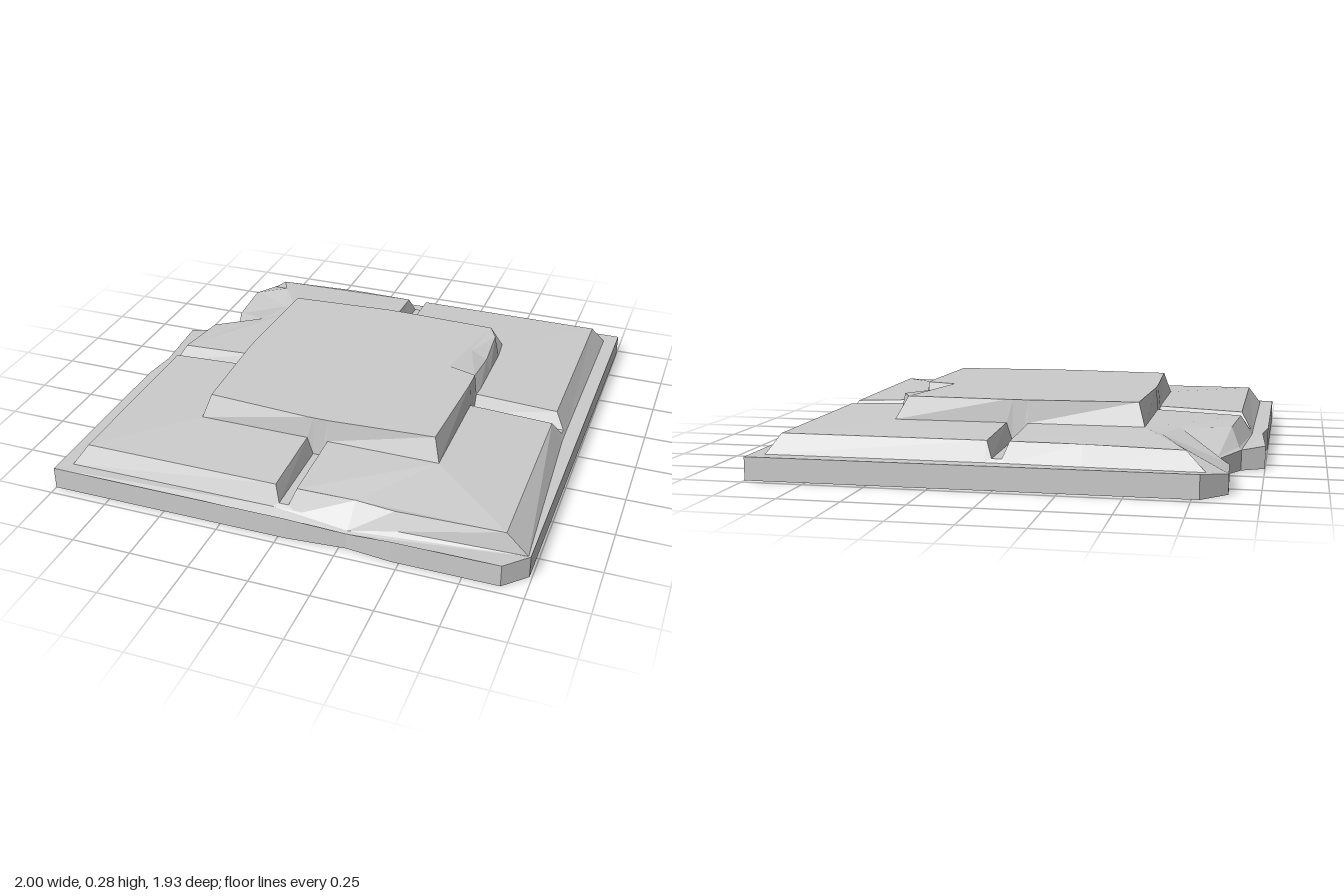
import * as THREE from 'three';

const material = new THREE.MeshStandardMaterial({ color: 0xcccccc, flatShading: true, side: THREE.DoubleSide });

// Heights of the ledge, slab edge, plinth foot, groove floor and plinth top
const LEDGE = 0.095, SLAB = 0.175, FOOT = 0.19, GROOVE = 0.115, TOP = 0.285;
const HALF = 0.525; // half width of the plinth

// Plan point [x, z, own height] to a 3D point at the usual height
const at = (height) => ([x, z, y = height]) => [x, y, z];
const same = (p, q) => p.every((v, i) => v === q[i]);

function surface(name, triangles) {
  const solid = triangles.filter(([a, b, c]) => !same(a, b) && !same(b, c) && !same(c, a));
  const geometry = new THREE.BufferGeometry();
  geometry.setAttribute('position', new THREE.Float32BufferAttribute(solid.flat(2), 3));
  geometry.computeVertexNormals();
  const mesh = new THREE.Mesh(geometry, material);
  mesh.name = name;
  return mesh;
}

// Band of faces between two paths with equally many points
function strip(name, a, b, closed = false) {
  const triangles = [];
  for (let i = 0; i < (closed ? a.length : a.length - 1); i++) {
    const j = (i + 1) % a.length;
    triangles.push([a[i], b[i], a[j]], [a[j], b[i], b[j]]);
  }
  return surface(name, triangles);
}

// Upward-facing fill of a loop, with optional holes
function cap(name, loop, holes = []) {
  const loops = [loop, ...holes].map((l) => l.filter((p, i) => !same(p, l[(i + 1) % l.length])));
  const flat = loops.map((l) => l.map(([x, , z]) => new THREE.Vector2(x, -z)));
  const points = loops.flat();
  const triangles = THREE.ShapeUtils.triangulateShape(flat[0], flat.slice(1)).map((f) => {
    const [a, b, c] = f.map((i) => points[i]);
    const up = (b[2] - a[2]) * (c[0] - a[0]) - (b[0] - a[0]) * (c[2] - a[2]);
    return up >= 0 ? [a, b, c] : [a, c, b];
  });
  return surface(name, triangles);
}

// Top edge of the base, clockwise from above, broken at the back right
const outline = [
  [0.99, 0.87], [0.9, 0.96], [0.47, 0.96], [0.28, 0.94, 0.07], [0.03, 0.96], [-1, 0.96], [-1, 0.12],
  [-0.98, -0.03], [-1, -0.33], [-0.905, -0.385, 0.085], [-0.83, -0.52, 0.075], [-0.87, -0.62, 0.07],
  [-0.88, -0.85, 0.08], [-0.78, -0.96], [1, -0.97],
].map(at(LEDGE));

// Worn outer corners, as pairs of bevel foot and slab edge
const chippedFront = [
  [[0.08, 0.9], [0.06, 0.86]],
  [[0.28, 0.925, 0.075], [0.28, 0.83, 0.155]],
  [[0.47, 0.89], [0.45, 0.86, 0.165]],
  [[0.98, 0.87], [0.89, 0.86]],
];
const brokenBack = [
  [[-0.33, -0.91], [-0.33, -0.865]],
  [[-0.8, -0.92], [-0.72, -0.86, 0.165]],
  [[-0.87, -0.85, 0.085], [-0.68, -0.78, 0.17]],
  [[-0.86, -0.62, 0.075], [-0.6, -0.58]],
  [[-0.82, -0.52, 0.08], [-0.66, -0.42]],
  [[-0.895, -0.37], [-0.86, -0.3, 0.165]],
];
const plainCorner = (sx, sz) => [[[sx * 0.94, sz * 0.905], [sx * 0.885, sz * 0.86]]];

// Plinth corner with a chip: foot, rim and, where broken, the lip above
const chippedPlinth = [
  [[0.52, -0.53], [0.47, -0.5]],
  [[0.53, -0.42], [0.51, -0.42]],
  [[0.53, -0.27], [0.51, -0.27, 0.245], [0.44, -0.27, 0.28]],
  [[0.53, -0.1], [0.5, -0.1, 0.25], [0.385, -0.09]],
];
const plainPlinth = (sx, sz) => [[[sx * HALF, sz * HALF], [sx * 0.495, sz * 0.485]]];

// One corner slab: bevel foot and top edge running clockwise from groove to groove
function makeSlab(name, sx, sz, corner = plainCorner(sx, sz), plinth = plainPlinth(sx, sz)) {
  const mirror = ([x, y, z]) => [sx * x, y, sz * z];
  const foot = [
    ...[[0.02, GROOVE, HALF], [0.02, 0.11, 0.89], [0.045, LEDGE, 0.9]].map(mirror),
    ...corner.map((p) => at(LEDGE)(p[0])),
    ...[[0.935, LEDGE, 0.05], [0.925, 0.11, 0.015], [HALF, GROOVE, 0.015]].map(mirror),
  ];
  const front = [0.045, SLAB, 0.86], side = [0.885, SLAB, 0.05];
  const top = [
    ...[[0.045, FOOT, HALF], front, front].map(mirror),
    ...corner.map((p) => at(SLAB)(p[1])),
    ...[side, side, [HALF, FOOT, 0.05]].map(mirror),
  ];
  const inner = plinth.map(([base, ...upper]) => [at(FOOT)(base), ...upper.map(at(TOP))]);
  if (sx * sz > 0) [foot, top, inner].forEach((path) => path.reverse());
  return { name, foot, top, inner };
}

export function createModel() {
  const model = new THREE.Group();
  model.name = 'steppedStoneSlab';

  const slabs = [
    makeSlab('frontRightSlab', -1, 1),
    makeSlab('backRightSlab', -1, -1, brokenBack),
    makeSlab('backLeftSlab', 1, -1, plainCorner(1, -1), chippedPlinth),
    makeSlab('frontLeftSlab', 1, 1, chippedFront),
  ];

  // Base wall and the ledge around the slabs
  model.add(strip('baseWall', outline.map(([x, , z]) => [x, 0, z]), outline, true));
  model.add(cap('baseLedge', outline, [slabs.flatMap((s) => s.foot.slice(1, -1))]));

  // Bevelled corner slabs and the grooves between them
  const plinth = [];
  slabs.forEach(({ name, foot, top, inner }, i) => {
    const group = new THREE.Group();
    group.name = name;
    group.add(strip(name + 'Bevel', foot, top));
    group.add(cap(name + 'Top', [...top, ...inner.map((p) => p[0]).reverse()]));
    model.add(group);

    const next = slabs[(i + 1) % slabs.length].foot;
    model.add(strip('grooveFloor', [foot.at(-1), foot.at(-2)], [next[0], next[1]]));

    // The plinth foot dips into each groove
    const leaning = (p) => [p, [p[0] * 0.98, TOP, p[2] * 0.98]];
    plinth.push(leaning(foot[0]), leaning(top[0]), ...inner, leaning(top.at(-1)), leaning(foot.at(-1)));
  });

  // Central plinth: walls, chipped edge and top
  const rim = plinth.map((p) => p[1]);
  const lip = plinth.map((p) => p[2] ?? p[1]);
  model.add(strip('plinthWall', plinth.map((p) => p[0]), rim, true));
  model.add(strip('plinthChip', rim, lip, true));
  model.add(cap('plinthTop', lip));
  return model;
}
